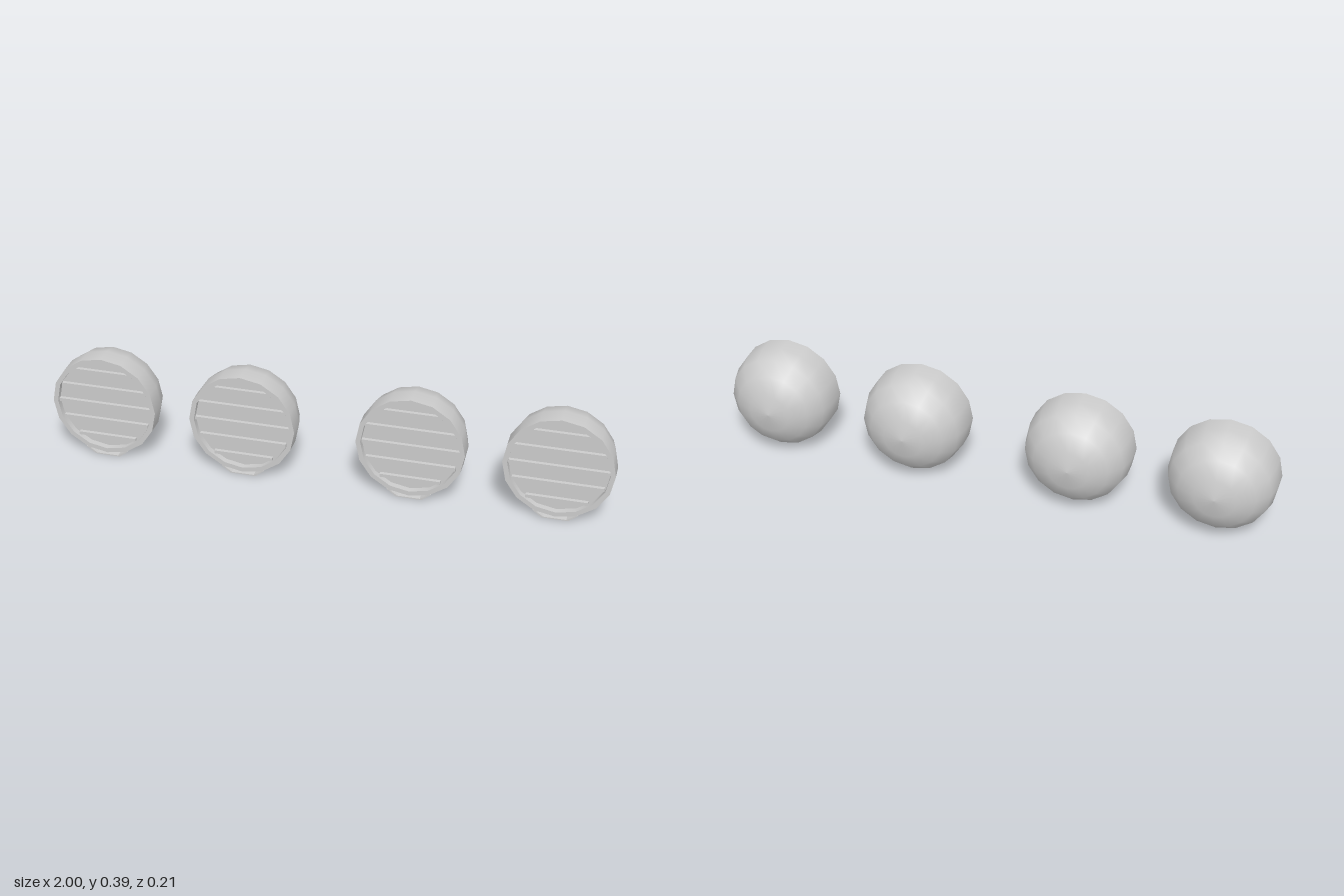
import * as THREE from 'three';

const SIDES = 16, R = 0.191, INNER = 0.174, FRONT = 0.107, LENS = 0.085, CY = 0.202;
const material = new THREE.MeshStandardMaterial({ color: 0xcccccc, side: THREE.DoubleSide });

function add(group, name, geometry) {
  const mesh = new THREE.Mesh(geometry, material);
  mesh.name = name;
  group.add(mesh);
  return mesh;
}

// Profile of [radius, z] turned around the z axis
function turned(points) {
  return new THREE.LatheGeometry(points.map(([r, z]) => new THREE.Vector2(r, z)), SIDES).rotateX(Math.PI / 2);
}

// Trapezoid outline for the drain hood, y relative to the lamp centre
function trapezoid(Type, top, bottom, yTop, yBottom) {
  const path = new Type();
  path.moveTo(-bottom, yBottom);
  path.lineTo(bottom, yBottom);
  path.lineTo(top, yTop);
  path.lineTo(-top, yTop);
  path.closePath();
  return path;
}

function createLamp() {
  const lamp = new THREE.Group();
  lamp.name = 'headlamp';

  // Rounded bowl, straight band and front rim
  add(lamp, 'bowl', turned([[0, -0.107], [0.073, -0.096], [0.135, -0.064], [0.177, -0.016], [R, 0.042], [R, FRONT]]));
  add(lamp, 'rim', turned([[R, FRONT], [INNER, FRONT]]));
  add(lamp, 'rimInnerWall', turned([[INNER, FRONT], [INNER, LENS]]));
  add(lamp, 'lens', turned([[INNER, LENS], [0, LENS]]));

  // Horizontal ribs across the lens, each cut to the width of the opening
  for (let i = -2; i <= 2; i++) {
    const y = i * 0.065;
    const half = Math.sqrt(INNER ** 2 - (Math.abs(y) + 0.006) ** 2) - 0.002;
    add(lamp, 'lensRib', new THREE.BoxGeometry(half * 2, 0.012, 0.014)).position.set(0, y, LENS + 0.006);
  }

  // Small hollow drain hood below the band, its back leaning forward at the bottom
  const shape = trapezoid(THREE.Shape, 0.078, 0.046, 0.026 - CY, -CY);
  shape.holes.push(trapezoid(THREE.Path, 0.066, 0.04, 0.022 - CY, 0.004 - CY));
  const hood = new THREE.ExtrudeGeometry(shape, { depth: FRONT - 0.042, bevelEnabled: false });
  const p = hood.attributes.position;
  for (let i = 0; i < p.count; i++) {
    if (p.getZ(i) < 0.01) p.setZ(i, 0.01 * (0.026 - CY - p.getY(i)) / 0.026);
  }
  hood.translate(0, 0, 0.042);
  hood.computeVertexNormals();
  add(lamp, 'drainHood', hood);

  return lamp;
}

export function createModel() {
  const model = new THREE.Group();
  model.name = 'headlamps';
  for (const x of [-0.809, -0.3, 0.3, 0.809]) {
    const lamp = createLamp();
    lamp.position.set(x, CY, 0);
    model.add(lamp);
  }
  return model;
}
